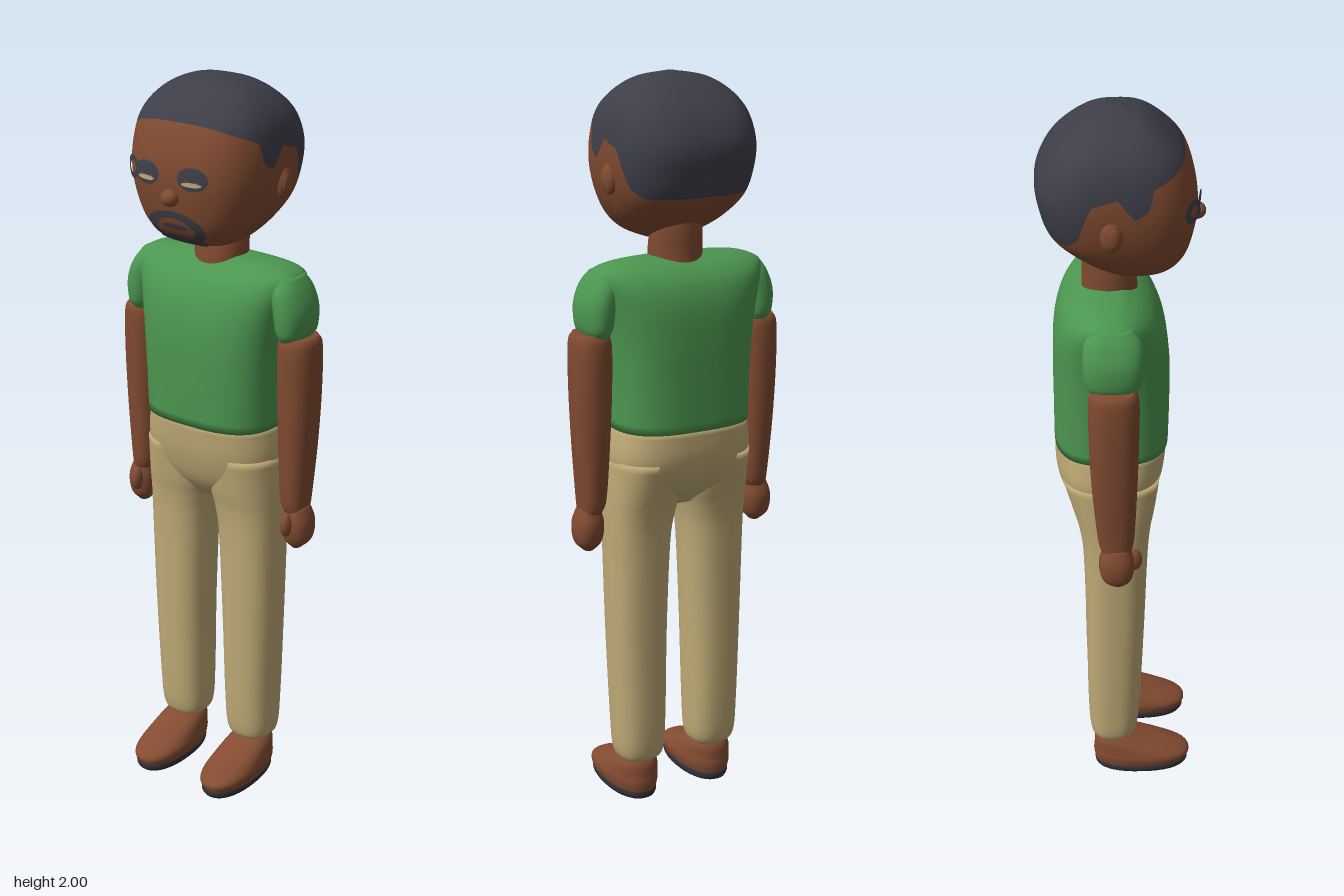
import * as THREE from 'three';

const mat = (name, color) => {
  const m = new THREE.MeshStandardMaterial({ color });
  m.name = name;
  return m;
};

// Superellipse section [y, x0, x1, z0, z1]; angle 0 faces the front.
const pow = (v, n) => Math.sign(v) * Math.pow(Math.abs(v), 2 / n);
const onSection = ([y, x0, x1, z0, z1], a, n) => new THREE.Vector3(
  (x0 + x1) / 2 + (x1 - x0) / 2 * pow(Math.sin(a), n), y,
  (z0 + z1) / 2 + (z1 - z0) / 2 * pow(Math.cos(a), n));

// Smooth interpolation between the listed sections.
function sections(rings) {
  const a = new THREE.CatmullRomCurve3(rings.map(r => new THREE.Vector3(r[0], r[1], r[2])), false, 'catmullrom');
  const b = new THREE.CatmullRomCurve3(rings.map(r => new THREE.Vector3(r[3], r[4], 0)), false, 'catmullrom');
  return t => {
    const p = a.getPoint(t), q = b.getPoint(t);
    return [p.x, p.y, p.z, q.x, q.y];
  };
}

// Closed-around grid from point(angle, v), with optional end caps.
function skin(point, seg, rows, capBottom = true, capTop = true) {
  const pos = [], index = [];
  for (let j = 0; j <= rows; j++)
    for (let i = 0; i < seg; i++) pos.push(...point(i / seg * Math.PI * 2, j / rows).toArray());
  for (let j = 0; j < rows; j++)
    for (let i = 0; i < seg; i++) {
      const k = (i + 1) % seg, a = j * seg + i, b = j * seg + k;
      index.push(a, b, b + seg, a, b + seg, a + seg);
    }
  const cap = (row, up) => {
    const c = new THREE.Vector3(), id = pos.length / 3;
    for (let i = 0; i < seg; i++) c.add(new THREE.Vector3().fromArray(pos, (row * seg + i) * 3));
    pos.push(...c.divideScalar(seg).toArray());
    for (let i = 0; i < seg; i++) {
      const a = row * seg + i, b = row * seg + (i + 1) % seg;
      index.push(...(up ? [a, b, id] : [b, a, id]));
    }
  };
  if (capBottom) cap(0, false);
  if (capTop) cap(rows, true);
  const g = new THREE.BufferGeometry();
  g.setAttribute('position', new THREE.Float32BufferAttribute(pos, 3));
  g.setIndex(index);
  g.computeVertexNormals();
  return g;
}

function loft(rings, n = 2.3, seg = 40) {
  const at = sections(rings);
  return skin((a, v) => onSection(at(v), a, n), seg, (rings.length - 1) * 5);
}

const mirror = (rings, s) => s > 0 ? rings : rings.map(([y, a, b, c, d]) => [y, -b, -a, c, d]);

const HEAD_N = 2.8;
const headAt = sections([
  [1.565, -.03, .03, -.02, .05], [1.59, -.10, .10, -.045, .12], [1.63, -.145, .145, -.11, .16],
  [1.69, -.178, .178, -.18, .18], [1.76, -.195, .195, -.207, .189], [1.83, -.197, .197, -.213, .182],
  [1.90, -.183, .183, -.182, .157], [1.95, -.148, .148, -.13, .11], [1.985, -.09, .09, -.075, .06],
  [2.0, -.01, .01, -.015, .005]]);

// Position along the head at height y.
function headT(y) {
  let lo = 0, hi = 1;
  for (let i = 0; i < 24; i++) {
    const m = (lo + hi) / 2;
    if (headAt(m)[0] < y) lo = m; else hi = m;
  }
  return lo;
}

// Hairline height, keyed from the back (-1) to the forehead (1).
const HAIRLINE = [[-1, 1.70], [-.74, 1.70], [-.55, 1.725], [-.32, 1.82], [0, 1.84], [.2, 1.785],
  [.38, 1.81], [.46, 1.86], [.8, 1.885], [1, 1.903]];
function hairT(a) {
  const k = pow(Math.cos(a), HEAD_N);
  let i = 0;
  while (i < HAIRLINE.length - 2 && k > HAIRLINE[i + 1][0]) i++;
  const [k0, y0] = HAIRLINE[i], [k1, y1] = HAIRLINE[i + 1];
  return headT(y0 + (y1 - y0) * (k - k0) / (k1 - k0));
}

// Lay a flat geometry onto the front of the face.
function onFace(g, x, y, sx, sy, lift) {
  const p = g.attributes.position;
  for (let i = 0; i < p.count; i++) {
    const px = x + p.getX(i) * sx, py = y + p.getY(i) * sy;
    const [, x0, x1, z0, z1] = headAt(headT(py));
    const r = Math.min(.98, Math.abs(px) / x1);
    p.setXYZ(i, px, py, (z0 + z1) / 2 + (z1 - z0) / 2 * Math.pow(1 - Math.pow(r, HEAD_N), 1 / HEAD_N) + lift);
  }
  g.computeVertexNormals();
  return g;
}

export function createModel() {
  const group = new THREE.Group();
  const brown = mat('skin brown', 0x7f4a30), dark = mat('charcoal hair', 0x3e3e49);
  const green = mat('shirt green', 0x4c9650), tan = mat('trouser tan', 0xbfaa76);
  const shoeBrown = mat('shoe brown', 0x844c32), soleDark = mat('sole dark', 0x32323c);
  const add = (name, geo, m) => {
    const mesh = new THREE.Mesh(geo, m);
    mesh.name = name;
    group.add(mesh);
    return mesh;
  };
  const ball = (name, m, x, y, z, rx, ry, rz) => {
    const b = add(name, new THREE.SphereGeometry(1, 20, 14), m);
    b.position.set(x, y, z);
    b.scale.set(rx, ry, rz);
    return b;
  };

  // Head and hair share one surface, divided at the hairline
  add('face', skin((a, v) => onSection(headAt(v * hairT(a)), a, HEAD_N), 128, 40, true, false), brown);
  add('hair', skin((a, v) => {
    const t = hairT(a);
    return onSection(headAt(t + (1 - t) * v), a, HEAD_N);
  }, 128, 36, false, true), dark);
  add('neck', loft([[1.48, -.07, .07, -.105, .045], [1.54, -.072, .072, -.1, .04],
    [1.60, -.07, .07, -.1, .03], [1.66, -.065, .065, -.095, .02]], 2), brown);
  ball('nose', brown, 0, 1.72, .19, .024, .022, .023);

  // Eyes, eyewear and beard
  const disc = () => new THREE.CircleGeometry(1, 28);
  const ring = (inner, start = 0, len = Math.PI * 2) => new THREE.RingGeometry(inner, 1, 32, 3, start, len);
  for (const s of [-1, 1]) {
    add('eyeFrame', onFace(ring(.5), s * .07, 1.776, .042, .03, .009), dark);
    add('upperLid', onFace(disc(), s * .07, 1.785, .034, .016, .007), dark);
    add('eyelid', onFace(disc(), s * .07, 1.764, .028, .006, .012), tan);
  }
  add('sideFrame', onFace(ring(.5), -.128, 1.777, .03, .03, .009), dark);
  add('moustache', onFace(ring(.58, 0, Math.PI), 0, 1.64, .085, .045, .008), dark);
  add('beardSides', onFace(ring(.72, Math.PI, Math.PI), 0, 1.642, .085, .055, .007), dark);
  add('goatee', onFace(disc(), 0, 1.597, .07, .02, .008), dark);
  add('mouth', onFace(disc(), 0, 1.641, .042, .008, .006), dark);

  // Shirt and trousers
  add('shirt', loft([[1.085, -.192, .192, -.178, .124], [1.2, -.195, .195, -.178, .126], [1.32, -.203, .203, -.178, .125],
    [1.41, -.218, .218, -.173, .113], [1.47, -.235, .235, -.155, .088], [1.505, -.237, .237, -.125, .055],
    [1.525, -.19, .19, -.09, .02], [1.533, -.1, .1, -.06, 0]], 2.9, 64), green);
  add('trouserSeat', loft([[.86, -.07, .07, -.08, .045], [.92, -.17, .17, -.14, .088],
    [1.0, -.2, .2, -.173, .112], [1.09, -.191, .191, -.177, .122]], 2.7, 56), tan);

  for (const s of [1, -1]) {
    const part = (name, rings, m, n) => add((s > 0 ? 'left' : 'right') + name, loft(mirror(rings, s), n), m);
    const blob = (name, m, x, ...rest) => ball((s > 0 ? 'left' : 'right') + name, m, s * x, ...rest);
    // Ear
    blob('Ear', brown, .19, 1.742, -.03, .017, .042, .028);
    blob('InnerEar', brown, .202, 1.742, -.026, .007, .026, .016);
    // Sleeve, arm and hand
    part('Sleeve', [[1.34, .21, .267, -.085, .03], [1.365, .2, .279, -.1, .045], [1.42, .19, .281, -.105, .05],
      [1.47, .18, .264, -.1, .045], [1.505, .18, .242, -.08, .02]], green);
    part('Arm', [[.86, .225, .285, -.06, .018], [.9, .213, .288, -.07, .026], [1.05, .205, .298, -.084, .033],
      [1.2, .199, .304, -.091, .037], [1.32, .199, .303, -.091, .037], [1.35, .212, .292, -.078, .025]], brown);
    part('Hand', [[.753, .247, .273, -.035, .0], [.78, .226, .297, -.06, .02], [.83, .22, .301, -.068, .026],
      [.875, .23, .286, -.055, .014]], brown);
    blob('Thumb', brown, .253, .828, .025, .016, .033, .022);
    // Trouser leg
    part('Leg', [[.11, .07, .158, -.07, .02], [.14, .047, .182, -.09, .04], [.25, .041, .189, -.097, .05],
      [.5, .036, .197, -.1, .06], [.75, .026, .202, -.106, .068], [.84, .014, .203, -.116, .075],
      [.9, .0, .203, -.132, .086], [1.0, .0, .199, -.16, .1]], tan, 2.5);
    // Shoe and sole
    part('Shoe', [[.018, .052, .182, -.078, .188], [.045, .046, .188, -.083, .193], [.068, .05, .184, -.081, .15],
      [.1, .06, .174, -.078, .06], [.125, .08, .155, -.062, .0]], shoeBrown);
    part('Sole', [[0, .055, .178, -.074, .184], [.01, .051, .183, -.079, .19], [.022, .051, .183, -.079, .19]], soleDark);
  }
  return group;
}
